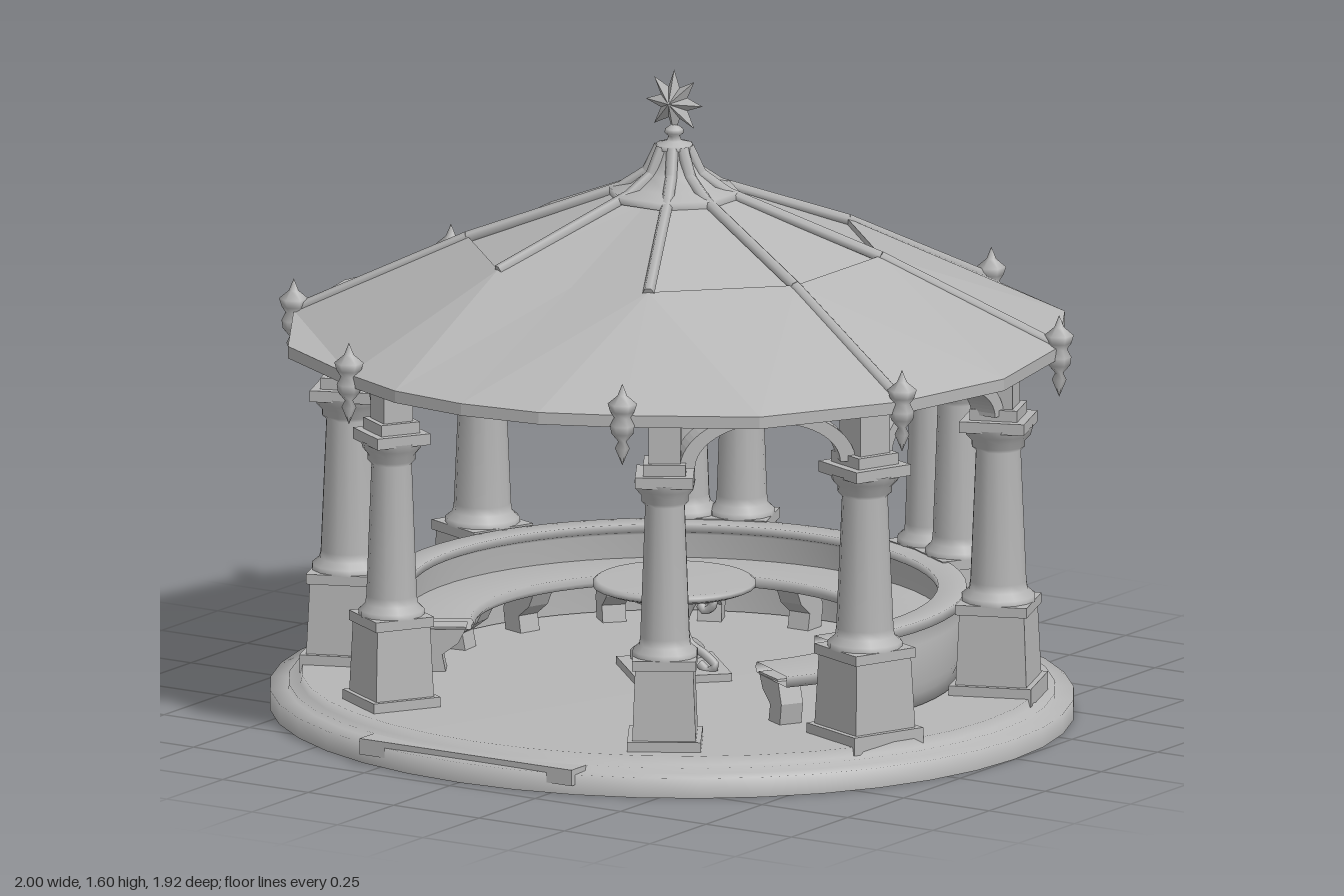
import * as THREE from 'three';

const stone = new THREE.MeshStandardMaterial({ color: 0xb6b6b6, side: THREE.DoubleSide });
const v2 = (x, y) => new THREE.Vector2(x, y);
const v3 = (x, y, z) => new THREE.Vector3(x, y, z);

function add(parent, name, geometry, x = 0, y = 0, z = 0) {
  const mesh = new THREE.Mesh(geometry, stone);
  mesh.name = name;
  mesh.position.set(x, y, z);
  parent.add(mesh);
  return mesh;
}
const box = (p, name, w, h, d, x, y, z) => add(p, name, new THREE.BoxGeometry(w, h, d), x, y, z);
const lathe = (p, name, pts, seg, start = 0, len = Math.PI * 2) =>
  add(p, name, new THREE.LatheGeometry(pts.map(([r, y]) => v2(r, y)), seg, start, len));

// Thin rod between two points
function rod(p, name, a, b, r) {
  const m = add(p, name, new THREE.CylinderGeometry(r, r, a.distanceTo(b), 6));
  m.position.copy(a).lerp(b, 0.5);
  m.quaternion.setFromUnitVectors(v3(0, 1, 0), b.clone().sub(a).normalize());
}

// Flat-shaded surface from polygons, each fanned from its first corner
function facets(p, name, polys) {
  const pts = [];
  for (const q of polys)
    for (let i = 1; i < q.length - 1; i++) pts.push(q[0], q[i], q[i + 1]);
  const g = new THREE.BufferGeometry().setFromPoints(pts);
  g.computeVertexNormals();
  return add(p, name, g);
}

// Square plinth, block, tapered shaft and capital
function column(parent, x, z, s) {
  const g = new THREE.Group();
  g.name = 'column';
  box(g, 'plinth', 0.19, 0.045, 0.19, 0, 0.09, 0);
  const block = add(g, 'pedestal', new THREE.CylinderGeometry(0.106, 0.116, 0.18, 4, 1, false, Math.PI / 4), 0, 0.2, 0);
  block.geometry = block.geometry.toNonIndexed();
  block.geometry.computeVertexNormals();
  box(g, 'pedestalCap', 0.165, 0.025, 0.165, 0, 0.3, 0);
  lathe(g, 'shaft', [[0.085, 0.31], [0.085, 0.325], [0.068, 0.34], [0.065, 0.36], [0.052, 0.69],
    [0.062, 0.7], [0.062, 0.715], [0.075, 0.73], [0.08, 0.75]], 14);
  box(g, 'capital', 0.15, 0.028, 0.15, 0, 0.758, 0);
  box(g, 'capitalStep', 0.11, 0.03, 0.11, 0, 0.785, 0);
  box(g, 'impost', 0.082, 0.15, 0.082, 0, 0.87, 0);
  g.position.set(x, 0, z);
  g.rotation.y = Math.atan2(x, z);
  g.scale.set(s, 1, s);
  parent.add(g);
}

// Curved band between two neighbouring columns
function arch(parent, [ax, az], [bx, bz]) {
  const half = Math.hypot(bx - ax, bz - az) / 2 - 0.03;
  const shape = new THREE.Shape();
  shape.moveTo(half, 0);
  shape.absellipse(0, 0, half, 0.135, 0, Math.PI, false);
  shape.lineTo(-half + 0.038, 0);
  shape.absellipse(0, 0, half - 0.038, 0.105, Math.PI, 0, true);
  const geo = new THREE.ExtrudeGeometry(shape, { depth: 0.07, bevelEnabled: false, curveSegments: 16 });
  geo.translate(0, 0, -0.035);
  const m = add(parent, 'arch', geo, (ax + bx) / 2, 0.785, (az + bz) / 2);
  m.rotation.y = -Math.atan2(bz - az, bx - ax);
}

function buildRoof(parent) {
  const roof = new THREE.Group();
  roof.name = 'roof';
  // Corners, mid-edges and ring points from the back round to the front, on the +x side
  const corner = [[0.35, -0.88], [0.89, -0.36], [0.89, 0.34], [0.4, 0.84]];
  const mid = [[0.69, -0.69], [0.965, 0], [0.69, 0.67]];
  const ring = [[0.19, -0.48], [0.48, -0.19], [0.48, 0.19], [0.22, 0.45]];
  const lower = [], upper = [], fascia = [];
  const at = (s, [x, z], y) => v3(s * x, y, z);
  const inner = (s, i, y, k = 0.26) => at(s, ring[i].map((c) => c * k), y);
  const edgeY = 0.95, ringY = 1.16, sunkY = 1.145, topY = 1.295;
  for (const s of [1, -1]) {
    const put = (list, ...q) => list.push(s > 0 ? q : q.reverse());
    const hem = (a, b) => put(fascia, at(s, a, edgeY), at(s, b, edgeY), at(s, b, edgeY - 0.03), at(s, a, edgeY - 0.03));
    for (let i = 0; i < 3; i++) {
      put(lower, at(s, mid[i], edgeY), at(s, corner[i + 1], edgeY), at(s, ring[i + 1], ringY), at(s, ring[i], ringY), at(s, corner[i], edgeY));
      put(upper, at(s, ring[i], sunkY), inner(s, i, topY), inner(s, i + 1, topY), at(s, ring[i + 1], sunkY));
      put(upper, at(s, ring[i], ringY), at(s, ring[i], sunkY), at(s, ring[i + 1], sunkY), at(s, ring[i + 1], ringY));
      hem(corner[i], mid[i]);
      hem(mid[i], corner[i + 1]);
    }
    // Filler beside the straight front panel
    put(lower, at(s, ring[3], ringY), at(s, corner[3], edgeY), at(s, [0.21, 0.925], edgeY));
    // Halves of the back panels
    put(lower, v3(0, edgeY, -0.96), at(s, corner[0], edgeY), at(s, ring[0], ringY), v3(0, ringY, -0.48));
    put(upper, v3(0, sunkY, -0.48), v3(0, topY, -0.125), inner(s, 0, topY), at(s, ring[0], sunkY));
    put(upper, v3(0, ringY, -0.48), v3(0, sunkY, -0.48), at(s, ring[0], sunkY), at(s, ring[0], ringY));
    hem([0, -0.96], corner[0]);
    hem(corner[3], [0.21, 0.925]);
    hem([0.21, 0.925], [0, 0.95]);
    // Half of the long front panel, slightly sunken along the middle
    put(lower, at(s, ring[3], ringY), at(s, [0.21, 0.925], edgeY), v3(0, edgeY, 0.95), v3(0, sunkY, 0.46));
    put(lower, inner(s, 3, topY), at(s, ring[3], ringY), v3(0, sunkY, 0.46), v3(0, topY - 0.005, 0.12));
    // Ribs running up into the neck; the front ones stop at the ring
    corner.forEach((c, i) => {
      const line = [inner(s, i, 1.41, 0.07), inner(s, i, 1.345, 0.13), inner(s, i, topY + 0.005), at(s, ring[i], ringY - 0.003)];
      if (i < 3) line.push(at(s, c, edgeY));
      for (let j = 1; j < line.length; j++) rod(roof, 'rib', line[j - 1], line[j], 0.015);
      lathe(roof, 'cornerFinial', [[0, 0.825], [0.018, 0.868], [0.01, 0.885], [0.027, 0.905], [0.03, 0.925], [0.02, 0.945],
        [0.03, 0.96], [0.036, 0.98], [0.012, 1.0], [0, 1.03]], 6).position.set(s * c[0], 0, c[1]);
    });
  }
  facets(roof, 'lowerRoofPanels', lower);
  facets(roof, 'upperRoofPanels', upper);
  facets(roof, 'roofEdge', fascia);

  // Flared cap, neck and star
  const cap = lathe(roof, 'roofCap', [[0.163, 1.285], [0.163, 1.303], [0.11, 1.315], [0.072, 1.345],
    [0.05, 1.38], [0.04, 1.415]], 8);
  cap.rotation.y = Math.PI / 8;
  lathe(roof, 'starNeck', [[0.045, 1.405], [0.045, 1.418], [0.018, 1.425], [0.014, 1.437], [0.024, 1.445],
    [0.022, 1.455], [0.008, 1.465], [0, 1.47]], 12);
  const star = [];
  const tip = (i) => {
    const r = i % 2 ? 0.042 : 0.083, a = i * Math.PI / 8;
    return v3(r * Math.sin(a), 1.52 + r * Math.cos(a), 0);
  };
  for (let i = 0; i < 16; i++) {
    star.push([v3(0, 1.52, 0.026), tip(i + 1), tip(i)], [v3(0, 1.52, -0.026), tip(i), tip(i + 1)]);
  }
  facets(roof, 'star', star);
  parent.add(roof);
}

export function createModel() {
  const model = new THREE.Group();
  model.name = 'gazebo';

  // Oval stepped floor, a shell open underneath
  const floor = lathe(model, 'floor', [[1, 0], [1, 0.05], [0.955, 0.052], [0.953, 0.065], [0.925, 0.067], [0.92, 0.088], [0, 0.088]], 40);
  floor.position.z = 0.01;
  floor.scale.z = 0.95;
  box(model, 'entranceStep', 0.62, 0.04, 0.22, 0, 0.045, 0.82);

  // Columns and the arches joining them
  const spots = [[0.4, 0.65, 0.95], [0.755, 0.3, 1.08], [0.755, -0.295, 1.08], [0.4, -0.655, 0.95], [0.275, -0.72, 0.95]];
  for (const s of [1, -1]) {
    const side = spots.map(([x, z, k]) => [s * x, z, k]);
    side.forEach(([x, z, k]) => column(model, x, z, k));
    for (let i = 0; i < 3; i++) arch(model, side[i], side[i + 1]);
  }
  arch(model, [-0.275, -0.72], [0.275, -0.72]);

  // Curved bench, open towards the front
  const bench = new THREE.Group();
  bench.name = 'bench';
  const from = Math.PI * 0.36, sweep = Math.PI * 1.28;
  lathe(bench, 'benchBack', [[0.67, 0.09], [0.7, 0.09], [0.7, 0.12], [0.715, 0.15], [0.715, 0.25], [0.7, 0.28],
    [0.72, 0.285], [0.72, 0.31], [0.65, 0.31], [0.65, 0.29], [0.67, 0.28], [0.67, 0.09]], 40, from, sweep);
  lathe(bench, 'benchSeat', [[0.5, 0.195], [0.68, 0.195], [0.68, 0.222], [0.5, 0.222], [0.49, 0.208], [0.5, 0.195]],
    44, from - 0.14, sweep + 0.28);
  const leg = new THREE.Shape([v2(0.51, 0.2), v2(0.53, 0.16), v2(0.57, 0.13), v2(0.56, 0.08), v2(0.62, 0.08), v2(0.63, 0.14), v2(0.61, 0.2)]);
  for (let i = 0; i < 11; i++) {
    const geo = new THREE.ExtrudeGeometry(leg, { depth: 0.06, bevelEnabled: false });
    geo.translate(0, 0, -0.03);
    add(bench, 'benchLeg', geo).rotation.y = from - 0.08 + (sweep + 0.16) * i / 10 - Math.PI / 2;
  }
  bench.scale.z = 0.98;
  model.add(bench);

  // Round table on scrolled legs
  const table = new THREE.Group();
  table.name = 'table';
  box(table, 'tableFoot', 0.24, 0.03, 0.24, 0, 0.092, 0).rotation.y = Math.PI / 4;
  lathe(table, 'tableTop', [[0, 0.3], [0.18, 0.3], [0.2, 0.308], [0.2, 0.318], [0.19, 0.325], [0, 0.325]], 28);
  lathe(table, 'tableStem', [[0.03, 0.1], [0.014, 0.14], [0.012, 0.19], [0.026, 0.21], [0.012, 0.23], [0.018, 0.3]], 10);
  const scroll = new THREE.CatmullRomCurve3([[0.075, 0.27], [0.09, 0.255], [0.115, 0.275], [0.1, 0.3], [0.065, 0.285], [0.03, 0.22],
    [0.045, 0.17], [0.09, 0.145], [0.12, 0.12], [0.1, 0.105], [0.075, 0.12]].map(([x, y]) => v3(x, y, 0)));
  for (let i = 0; i < 4; i++) {
    add(table, 'tableLeg', new THREE.TubeGeometry(scroll, 40, 0.011, 6)).rotation.y = i * Math.PI / 2;
  }
  model.add(table);

  buildRoof(model);
  return model;
}
